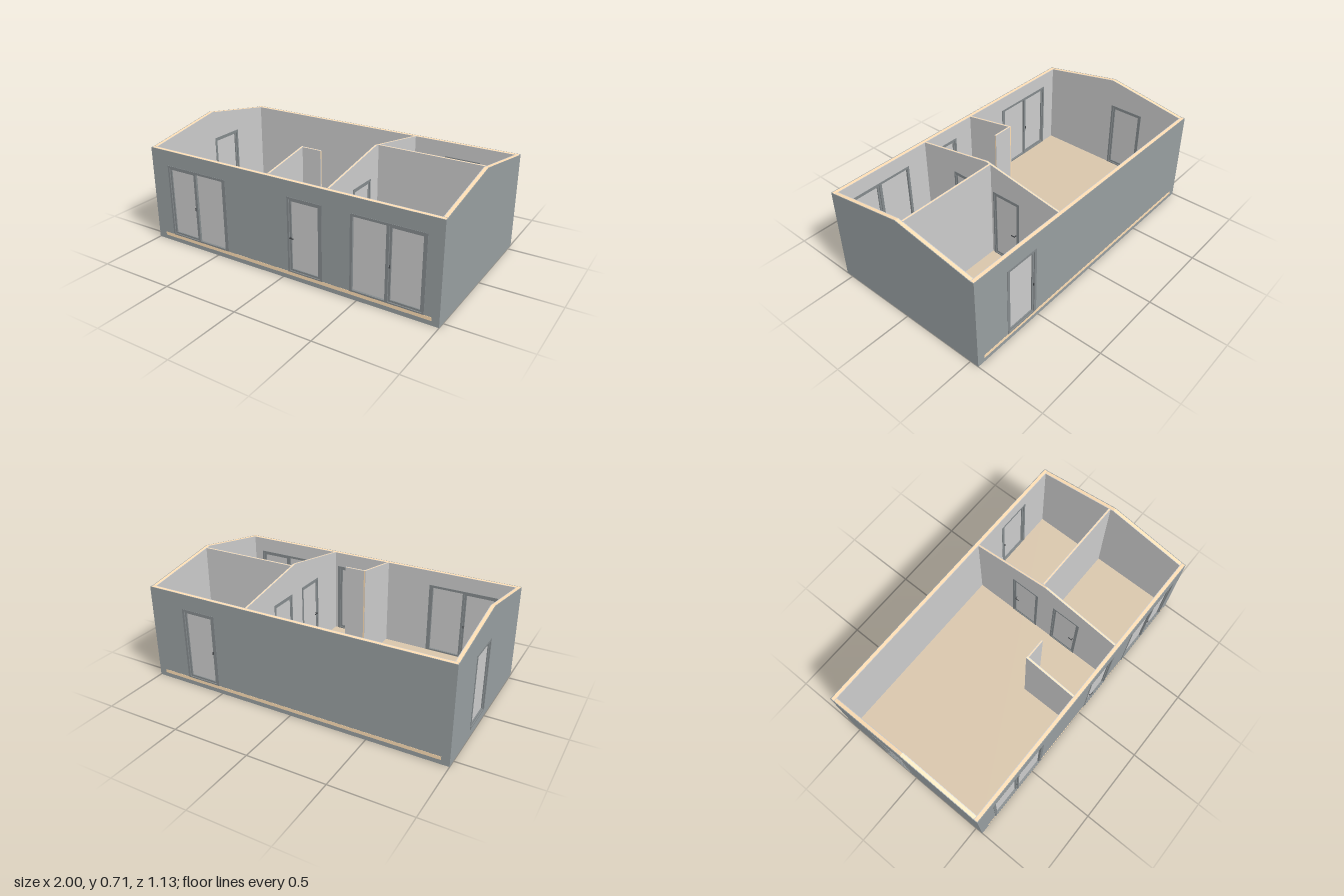
import * as THREE from 'three';

const mat = (color, side = THREE.FrontSide) => new THREE.MeshStandardMaterial({ color, side });
const cladding = mat(0x979ea0), plaster = mat(0xcccccc), timber = mat(0xffdfb5);
const floorMat = mat(0xd8c5ab), frameMat = mat(0x858b8d), metal = mat(0x44474a);

const X = 1, ZF = 0.55, ZB = -0.558, T = 0.028;   // outer faces and wall thickness
const EAVE = 0.622, RIDGE = 0.715, FLOOR = 0.05, HEAD = 0.525;

const roofY = z => Math.min(RIDGE, Math.max(EAVE, RIDGE - Math.abs(z) * (RIDGE - EAVE) / 0.53));

function add(parent, name, geometry, material, x = 0, y = 0, z = 0) {
  const m = new THREE.Mesh(geometry, material);
  m.name = name;
  m.position.set(x, y, z);
  parent.add(m);
  return m;
}
const box = (parent, name, w, h, d, material, x, y, z) =>
  add(parent, name, new THREE.BoxGeometry(w, h, d), material, x, y, z);

const rectPoints = (a, b, y0, y1) =>
  [[a, y0], [b, y0], [b, y1], [a, y1]].map(p => new THREE.Vector2(...p));

// flat panel in the u-y plane with rectangular holes [u0, u1, y0, y1]
function panel(points, holes, depth) {
  const shape = new THREE.Shape(points);
  for (const h of holes) shape.holes.push(new THREE.Path(rectPoints(...h)));
  return new THREE.ExtrudeGeometry(shape, { depth, bevelEnabled: false });
}

// door or window unit: casing, sash rings, panes and handles
// panes: { u0, u1, fixed, handle: 'lever' | 'pull', at }
function addUnit(wall, name, u0, u1, panes, t) {
  const unit = new THREE.Group();
  unit.name = name;
  wall.add(unit);
  const s = 0.012;
  const grow = p => p.fixed ? [p.u0, p.u1, 0.06, 0.51] : [p.u0 - s, p.u1 + s, 0.07 - s, 0.5 + s];
  add(unit, 'casing', panel(rectPoints(u0, u1, FLOOR, HEAD), panes.map(grow), t + 0.005),
    frameMat, 0, 0, -0.0025);
  for (const p of panes) {
    const y0 = p.fixed ? 0.06 : 0.07, y1 = p.fixed ? 0.51 : 0.5;
    box(unit, 'pane', p.u1 - p.u0, y1 - y0, 0.005, plaster, (p.u0 + p.u1) / 2, (y0 + y1) / 2, t / 2);
    if (!p.fixed)
      add(unit, 'sash', panel(rectPoints(...grow(p)), [[p.u0, p.u1, y0, y1]], t * 0.7),
        frameMat, 0, 0, t * 0.15);
    if (!p.handle) continue;
    const dir = p.at < (p.u0 + p.u1) / 2 ? 1 : -1;
    for (const side of [-1, 1]) {
      const z = t / 2 + side * (t / 2 + 0.002);
      if (p.handle === 'lever') {
        box(unit, 'handleSpindle', 0.005, 0.005, 0.02, metal, p.at, 0.275, z);
        box(unit, 'handleLever', 0.028, 0.006, 0.004, metal, p.at + dir * 0.012, 0.275, z + side * 0.009);
      } else box(unit, 'handlePull', 0.005, 0.018, 0.006, metal, p.at, 0.275, z);
    }
  }
}

// layered wall: skins on both faces, timber core; outline(inset layer) gives its points
function addWall(parent, name, outline, units, t, outer, skin = 0.004) {
  const wall = new THREE.Group();
  wall.name = name;
  parent.add(wall);
  const holes = units.map(u => [u.u0, u.u1, FLOOR, HEAD]);
  add(wall, 'innerSkin', panel(outline(1), holes, skin), plaster);
  add(wall, 'core', panel(outline(1), holes, t - 2 * skin), timber, 0, 0, skin);
  add(wall, 'outerSkin', panel(outline(0), holes, skin), outer, 0, 0, t - skin);
  for (const u of units) addUnit(wall, u.name, u.u0, u.u1, u.panes, t);
  return wall;
}

// wall outline following the roof slope; sign maps u to z
function gable(za, zb, sign, y0) {
  const zs = [za, ...[-0.53, 0, 0.53].filter(z => z > za && z < zb), zb];
  const pts = [[za, y0], [zb, y0], ...zs.reverse().map(z => [z, roofY(z)])];
  const v = pts.map(([z, y]) => new THREE.Vector2(z * sign, y));
  return sign < 0 ? v.reverse() : v;
}

export function createModel() {
  const house = new THREE.Group();
  house.name = 'house';
  const zi = ZF - T, zj = ZB + T, xi = X - T;

  // base and floor
  box(house, 'foundation', 2 * xi - 0.02, 0.028, zi - zj - 0.02, cladding, 0, 0.015, (zi + zj) / 2);
  box(house, 'floor', 2 * xi, 0.021, zi - zj, floorMat, 0, 0.0395, (zi + zj) / 2);
  box(house, 'frontFloorEdge', 1.895, 0.022, 0.004, timber, 0.007, 0.039, ZF - 0.001);
  box(house, 'backFloorEdge', 1.9, 0.022, 0.004, timber, 0, 0.039, ZB + 0.001);

  // long walls
  const long = i => rectPoints(-X + i * 0.004, X - i * 0.004, 0, EAVE);
  const front = addWall(house, 'frontWall', long, [
    { name: 'terraceDoorRight', u0: -0.87, u1: -0.41, panes: [
      { u0: -0.845, u1: -0.665, handle: 'pull', at: -0.66 }, { u0: -0.64, u1: -0.435, fixed: true }] },
    { name: 'entranceDoor', u0: 0.04, u1: 0.275, panes: [
      { u0: 0.065, u1: 0.245, handle: 'lever', at: 0.062 }] },
    { name: 'terraceDoorLeft', u0: 0.455, u1: 0.91, panes: [
      { u0: 0.47, u1: 0.675, fixed: true }, { u0: 0.705, u1: 0.885, handle: 'pull', at: 0.7 }] },
  ], T, cladding);
  front.position.z = zi;

  const back = addWall(house, 'backWall', long, [
    { name: 'backDoor', u0: -0.76, u1: -0.52, panes: [
      { u0: -0.733, u1: -0.55, handle: 'pull', at: -0.545 }] },
  ], T, cladding);
  back.rotation.y = Math.PI;
  back.position.z = zj;

  // gable walls: layer 1 fits between the long walls
  const end = sign => i => gable(i ? zj : ZB, i ? zi : ZF, sign, 0);
  const right = addWall(house, 'rightGableWall', end(1), [
    { name: 'sideWindow', u0: -0.25, u1: -0.01, panes: [{ u0: -0.225, u1: -0.035 }] },
  ], T, cladding);
  right.rotation.y = -Math.PI / 2;
  right.position.x = -xi;
  const left = addWall(house, 'leftGableWall', end(-1), [], T, cladding);
  left.rotation.y = Math.PI / 2;
  left.position.x = xi;

  // partitions
  const P = 0.014, S = 0.003;
  const main = addWall(house, 'mainPartition', () => gable(zj, zi, -1, FLOOR - 0.005), [
    { name: 'innerDoorBack', u0: 0.05, u1: 0.25, panes: [{ u0: 0.072, u1: 0.228, handle: 'lever', at: 0.222 }] },
    { name: 'innerDoorFront', u0: -0.27, u1: -0.07, panes: [{ u0: -0.248, u1: -0.092, handle: 'lever', at: -0.242 }] },
  ], P, plaster, S);
  main.rotation.y = Math.PI / 2;
  main.position.x = 0.293;

  const hall = addWall(house, 'hallPartition', () => gable(0.175, zi, -1, FLOOR - 0.005), [], P, plaster, S);
  hall.rotation.y = Math.PI / 2;
  hall.position.x = -0.112;

  const hallReturn = addWall(house, 'hallReturn',
    () => rectPoints(-0.098, 0.03, FLOOR - 0.005, 0.683), [], 0.012, plaster, S);
  hallReturn.position.z = 0.175;

  const rooms = addWall(house, 'roomPartition',
    () => rectPoints(0.307, xi, FLOOR - 0.005, 0.711), [], P, plaster, S);
  rooms.position.z = -0.035;

  return house;
}
